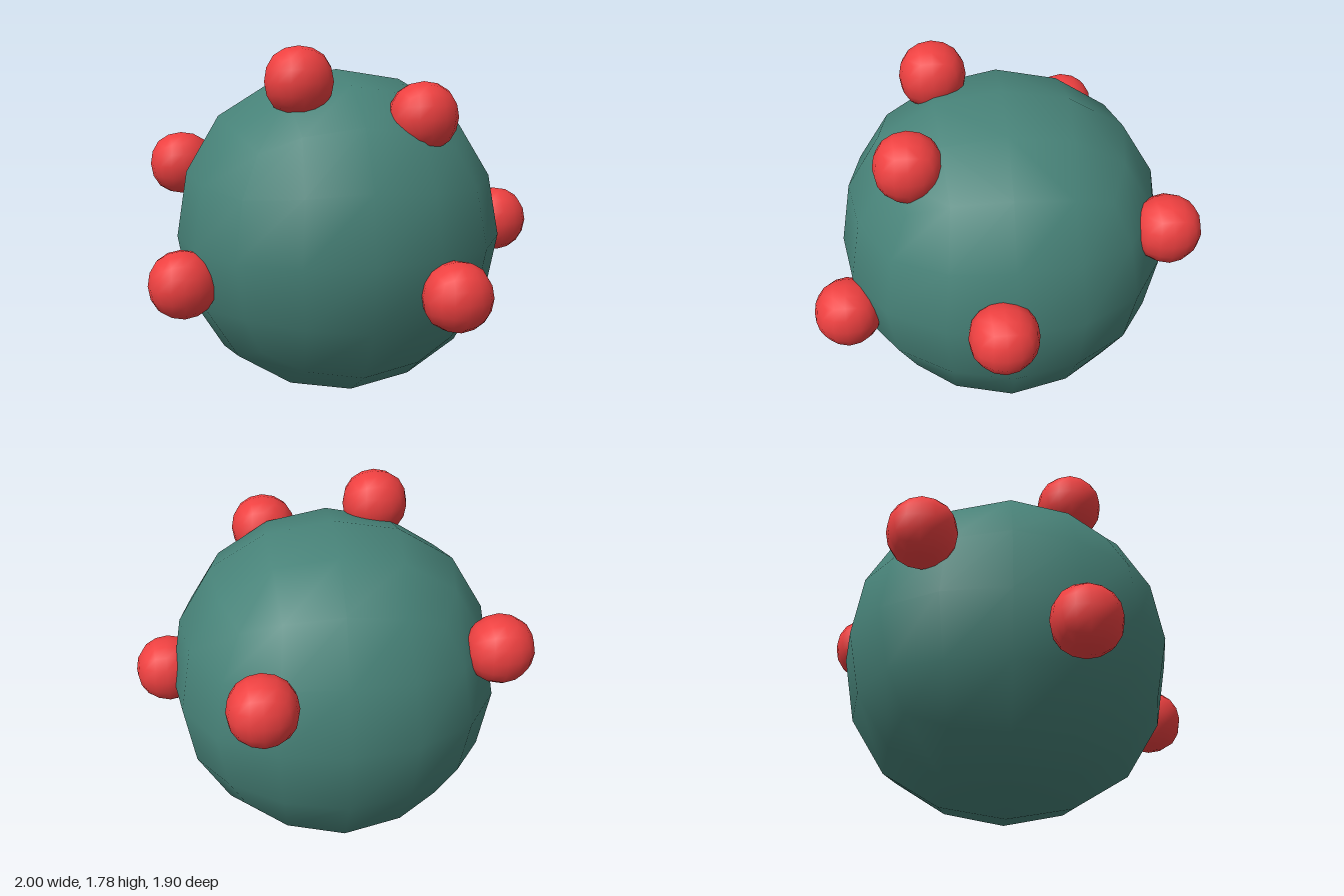
import * as THREE from 'three';
import { mergeGeometries, mergeVertices } from 'three/addons/utils/BufferGeometryUtils.js';

// A cube smoothed twice into a ball: depth and sideways offset by grid distance from a side's middle
const DEPTH = [[0.8785, 0.8195, 0.643], [0.8195, 0.764, 0.599], [0.643, 0.599, 0.509]];
const OFFSET = [[0, 0, 0], [0.3505, 0.326, 0.302], [0.643, 0.599, 0.509]];

function ballSide() {
  const side = new THREE.PlaneGeometry(4, 4, 4, 4);
  const pos = side.attributes.position;
  for (let k = 0; k < pos.count; k++) {
    const x = Math.round(pos.getX(k)), y = Math.round(pos.getY(k));
    const i = Math.abs(x), j = Math.abs(y);
    pos.setXYZ(k, Math.sign(x) * OFFSET[i][j], Math.sign(y) * OFFSET[j][i], DEPTH[i][j]);
  }
  side.deleteAttribute('uv');
  side.deleteAttribute('normal');
  return side;
}

// Six sides welded together with smooth normals, radius 1 along the axes
function ballGeometry() {
  const sides = [];
  for (let k = 0; k < 4; k++) sides.push(ballSide().rotateY(k * Math.PI / 2));
  for (const s of [-1, 1]) sides.push(ballSide().rotateX(s * Math.PI / 2));
  const ball = mergeVertices(mergeGeometries(sides), 1e-3);
  ball.scale(1 / 0.8785, 1 / 0.8785, 1 / 0.8785);
  ball.computeVertexNormals();
  return ball;
}

export function createModel() {
  const model = new THREE.Group();
  model.name = 'knobbedBall';
  const geometry = ballGeometry();

  function addBall(name, color, radius, position) {
    const mesh = new THREE.Mesh(geometry, new THREE.MeshStandardMaterial({ color }));
    mesh.name = name;
    mesh.scale.setScalar(radius);
    mesh.position.set(...position);
    model.add(mesh);
  }

  // Large body
  addBall('body', 0x478278, 0.822, [-0.013, 0.822, -0.02]);

  // Small knobs half sunk into the body
  const knobs = [
    [-0.265, 1.615, 0.30],
    [0.305, 1.45, 0.44],
    [0.375, 0.66, 0.78],
    [-0.837, 0.66, 0.30],
    [-0.772, 1.127, -0.435],
    [0.83, 0.845, 0.045],
    [0.375, 1.07, -0.787],
  ];
  knobs.forEach((p, i) => addBall(`knob${i + 1}`, 0xee4040, 0.165, p));

  return model;
}
